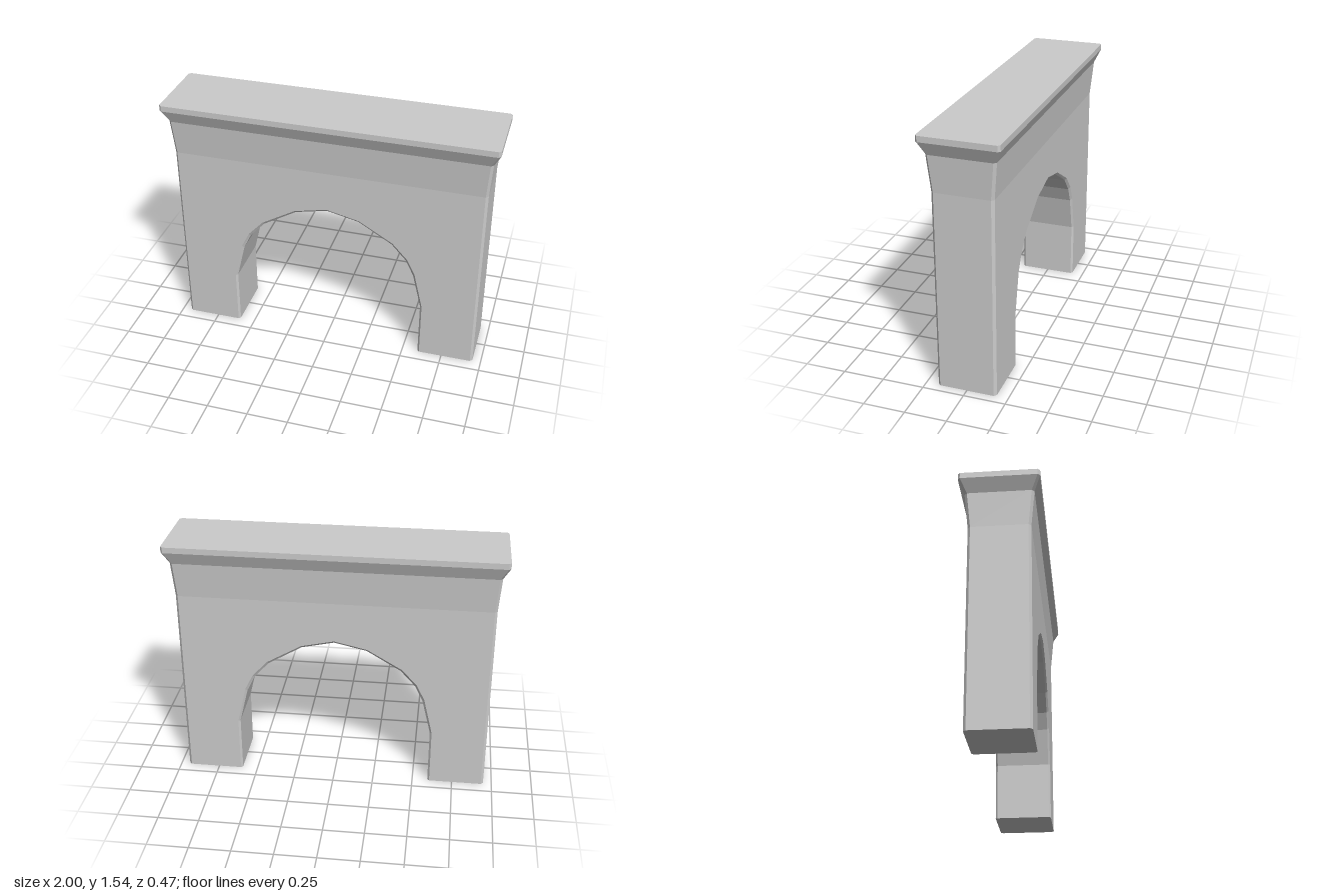
import * as THREE from 'three';

const material = new THREE.MeshStandardMaterial({ color: 0xcccccc, flatShading: true });

// Horizontal outline of the bridge at height y: a rectangle with chamfered corners
const ring = (y, X, Z, c) => [
  [-X + c, y, Z], [X - c, y, Z], [X, y, Z - c], [X, y, -Z + c],
  [X - c, y, -Z], [-X + c, y, -Z], [-X, y, -Z + c], [-X, y, Z - c],
];

// Fan of triangles over a convex, counter-clockwise polygon
function face(out, pts) {
  for (let i = 1; i < pts.length - 1; i++) out.push(...pts[0], ...pts[i], ...pts[i + 1]);
}

// Side faces between two outlines
function band(out, low, high, skip = []) {
  low.forEach((p, i) => {
    const j = (i + 1) % low.length;
    if (!skip.includes(i)) face(out, [p, low[j], high[j], high[i]]);
  });
}

function makeMesh(name, positions) {
  const geometry = new THREE.BufferGeometry();
  geometry.setAttribute('position', new THREE.Float32BufferAttribute(positions, 3));
  geometry.computeVertexNormals();
  const mesh = new THREE.Mesh(geometry, material);
  mesh.name = name;
  return mesh;
}

// Mirror half an arch (foot to crown on +x) into a full path from -x to +x
const fullArch = (half) => [
  ...half.map(([x, y]) => [-x, y]),
  ...half.slice(0, -1).reverse(),
];

export function createModel() {
  const group = new THREE.Group();
  group.name = 'archway';

  const X = 0.948, Z = 0.178, C = 0.015, wallTop = 1.21;
  const rim = 0.012, edgeX = 0.608, tunnelX = 0.596;
  const levels = [
    ring(0, X, Z, C),
    ring(wallTop, X, Z, C),
    ring(1.426, 0.962, 0.198, C),
    ring(1.505, 1, 0.233, 0.013),
    ring(1.54, 1, 0.233, 0.013),
  ];

  // Arch edge on the wall faces, and the slightly smaller tunnel behind its chamfer
  const edge = fullArch([[edgeX, 0], [edgeX, 0.357], [0.553, 0.594], [0.503, 0.694],
    [0.41, 0.795], [0.2, 0.918], [0, 0.963]]);
  const tunnel = fullArch([[tunnelX, 0], [tunnelX, 0.355], [0.542, 0.579], [0.494, 0.68],
    [0.402, 0.782], [0.196, 0.905], [0, 0.949]]);

  // Front and back wall faces with the arch cut out
  const outline = [[X - C, 0], [X - C, wallTop], [-X + C, wallTop], [-X + C, 0], ...edge];
  const shape = new THREE.Shape(outline.map(([x, y]) => new THREE.Vector2(x, y)));
  ['frontWall', 'backWall'].forEach((name, i) => {
    const wall = new THREE.Mesh(new THREE.ShapeGeometry(shape), material);
    wall.name = name;
    wall.position.z = i ? -Z : Z;
    wall.rotation.y = i ? Math.PI : 0;
    group.add(wall);
  });

  // Outer ends of the wall with their chamfered corners
  const ends = [];
  band(ends, levels[0], levels[1], [0, 4]);
  group.add(makeMesh('outerEnds', ends));

  // Underside of the arch with a chamfer along both rims
  const soffit = [];
  const section = (k) => [
    [...edge[k], Z], [...tunnel[k], Z - rim], [...tunnel[k], -Z + rim], [...edge[k], -Z],
  ];
  for (let k = 0; k < edge.length - 1; k++) {
    const a = section(k), b = section(k + 1);
    for (let i = 0; i < 3; i++) face(soffit, [a[i], a[i + 1], b[i + 1], b[i]]);
  }
  group.add(makeMesh('archSoffit', soffit));

  // Undersides of the two piers, the second mirrored from the first
  const foot = [
    [tunnelX, 0, Z - rim], [tunnelX, 0, -Z + rim], [edgeX, 0, -Z], [X - C, 0, -Z],
    [X, 0, -Z + C], [X, 0, Z - C], [X - C, 0, Z], [edgeX, 0, Z],
  ];
  const feet = [];
  face(feet, foot);
  face(feet, foot.map(([x, y, z]) => [-x, y, z]).reverse());
  group.add(makeMesh('pierFeet', feet));

  // Flared upper wall and cornice
  const flare = [];
  band(flare, levels[1], levels[2]);
  group.add(makeMesh('flaredWall', flare));

  const cornice = [];
  band(cornice, levels[2], levels[3]);
  band(cornice, levels[3], levels[4]);
  face(cornice, levels[4]);
  group.add(makeMesh('cornice', cornice));

  return group;
}
